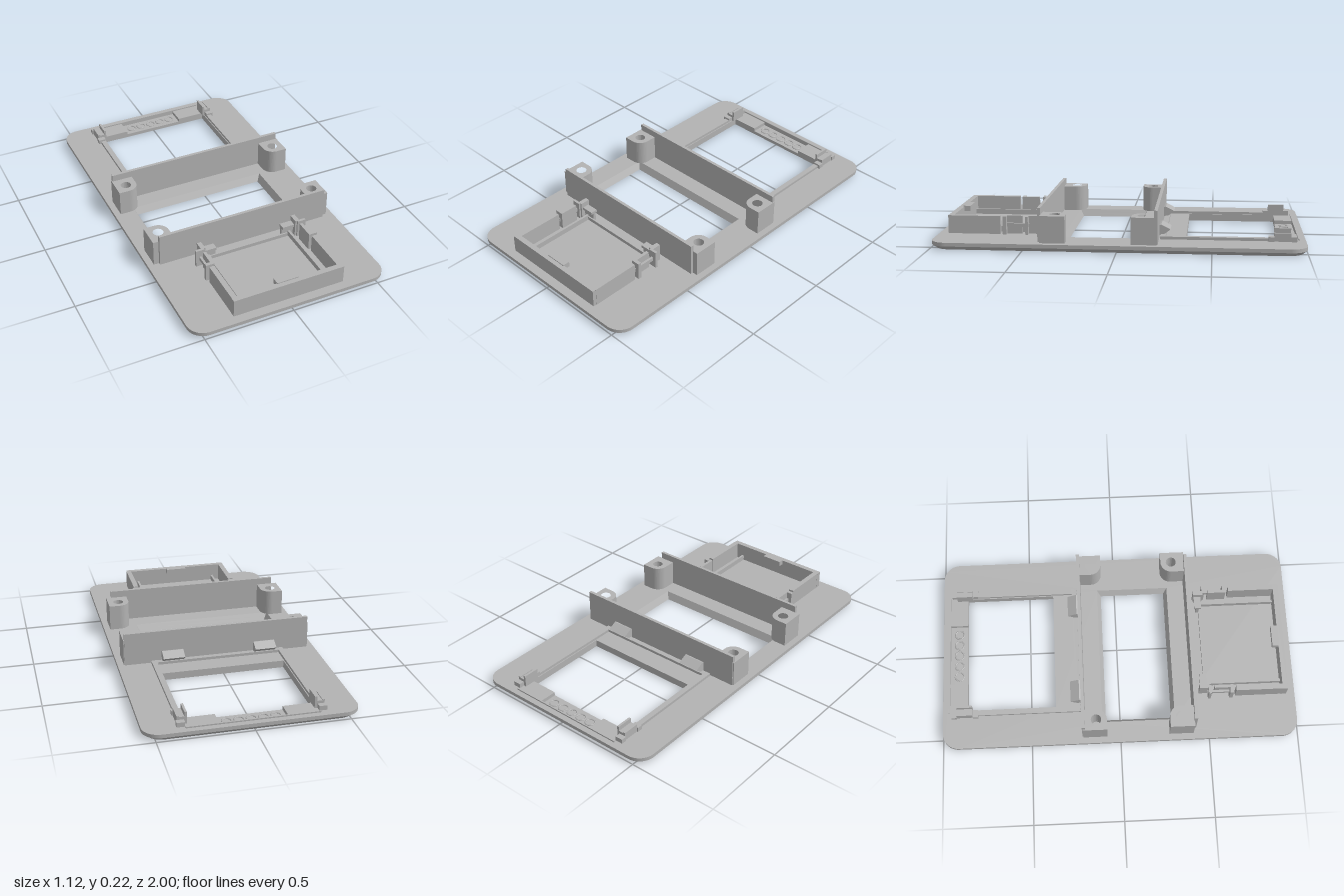
import * as THREE from 'three';

const grey = new THREE.MeshStandardMaterial({ color: 0xb2b2b2 });
grey.name = 'grey plastic';

export function createModel() {
  const model = new THREE.Group();
  model.name = 'devicePanel';

  const add = (name, geometry, parent = model) => {
    const mesh = new THREE.Mesh(geometry, grey);
    mesh.name = name;
    parent.add(mesh);
    return mesh;
  };
  // Box given by its limits on each axis
  const box = (name, x0, x1, y0, y1, z0, z1) => {
    const g = new THREE.BoxGeometry(x1 - x0, y1 - y0, z1 - z0);
    g.translate((x0 + x1) / 2, (y0 + y1) / 2, (z0 + z1) / 2);
    return add(name, g);
  };
  // Plan outline (x, z) raised from y0 to y1
  const prism = (shape, y0, y1) => {
    const g = new THREE.ExtrudeGeometry(shape, { depth: y1 - y0, bevelEnabled: false, curveSegments: 10 });
    return g.rotateX(Math.PI / 2).translate(0, y1, 0);
  };
  // Side outline (z, y) stretched from x0 to x1
  const sideProfile = (name, points, x0, x1) => {
    const s = new THREE.Shape(points.map(([z, y]) => new THREE.Vector2(-z, y)));
    const g = new THREE.ExtrudeGeometry(s, { depth: x1 - x0, bevelEnabled: false });
    return add(name, g.rotateY(Math.PI / 2).translate(x0, 0, 0));
  };
  const path = (points) => new THREE.Path(points.map(([x, z]) => new THREE.Vector2(x, z)));
  const rect = (x0, x1, z0, z1) => path([[x0, z0], [x1, z0], [x1, z1], [x0, z1]]);

  // Base plate: chamfered below, with a sloped window and a stepped opening
  const plateLayer = (name, y0, y1, opening) => {
    const w = 0.56, l = 1, r = 0.09;
    const s = new THREE.Shape();
    s.absarc(w - r, l - r, r, 0, Math.PI / 2);
    s.absarc(-w + r, l - r, r, Math.PI / 2, Math.PI);
    s.absarc(-w + r, -l + r, r, Math.PI, Math.PI * 1.5);
    s.absarc(w - r, -l + r, r, Math.PI * 1.5, Math.PI * 2);
    s.closePath();
    s.holes.push(rect(-0.44, 0.365, -0.1, 0.31), opening);
    const g = prism(s, y0, y1), p = g.attributes.position;
    for (let i = 0; i < p.count; i++) {
      const x = p.getX(i), y = p.getY(i), z = p.getZ(i);
      if (Math.abs(x) < 0.45 && z > -0.15 && z < 0.35) {
        const d = 0.02 * (1 - y / 0.04);
        p.setX(i, x - Math.sign(x) * d);
        p.setZ(i, z + (z < 0 ? d : -d));
      } else if (y < 0.001 && (Math.abs(x) > 0.46 || Math.abs(z) > 0.9 && Math.abs(z) > 0.98)) {
        p.setX(i, x * 0.964);
        p.setZ(i, z * 0.98);
      }
    }
    g.computeVertexNormals();
    add(name, g);
  };
  plateLayer('plateLower', 0, 0.02, rect(-0.34, 0.34, -0.86, -0.36));
  plateLayer('plateUpper', 0.02, 0.04, path([
    [-0.34, -0.36], [-0.34, -0.86], [-0.18, -0.86], [-0.18, -0.96],
    [0.175, -0.96], [0.175, -0.86], [0.34, -0.86], [0.34, -0.36]]));

  // Cross walls on both sides of the window
  box('backWall', -0.52, 0.52, 0.04, 0.224, -0.215, -0.197);
  box('frontWall', -0.495, 0.495, 0.04, 0.224, 0.408, 0.425);

  // Screw posts, square towards the wall and outer edge, rounded inwards
  for (const sx of [-1, 1]) {
    for (const [cz, sz] of [[-0.135, -1], [0.335, 1]]) {
      const r = 0.06, s = new THREE.Shape();
      const pts = [[r, r + 0.015], [-r, r + 0.015], [-r, 0]];
      for (let i = 1; i <= 12; i++) {
        const a = Math.PI + (i / 12) * Math.PI / 2;
        pts.push([Math.cos(a) * r, Math.sin(a) * r]);
      }
      pts.push([r, -r]);
      s.setFromPoints(pts.map(([x, z]) => new THREE.Vector2(sx * (0.465 + x), cz + sz * z)));
      s.holes.push(new THREE.Path().absarc(sx * 0.465, cz, 0.029, 0, Math.PI * 2, true));
      add('screwPost', prism(s, 0.04, 0.186));
    }
  }

  // Front compartment: open tray with side ledges and a snap tab
  box('trayFrontWall', -0.318, 0.315, 0.04, 0.14, 0.92, 0.95);
  box('trayTab', -0.062, 0.06, 0.115, 0.145, 0.885, 0.925);
  box('trayBackLedge', -0.24, 0.235, 0.04, 0.06, 0.485, 0.495);
  for (const s of [-1, 1]) {
    const side = (name, a, b, y0, y1, z0, z1) =>
      box(name, Math.min(s * a, s * b), Math.max(s * a, s * b), y0, y1, z0, z1);
    side('traySideWall', 0.288, 0.317, 0.04, 0.14, 0.66, 0.93);
    side('traySideLedge', 0.237, 0.25, 0.04, 0.07, 0.49, 0.92);
    // Spring clip of the tray
    side('trayClipWall', 0.28, 0.297, 0.04, 0.14, 0.54, 0.64);
    side('trayClipPost', 0.27, 0.295, 0.04, 0.14, 0.455, 0.51);
    side('trayClipArm', 0.2, 0.27, 0.04, 0.11, 0.47, 0.487);
    side('trayClipLip', 0.2, 0.27, 0.095, 0.11, 0.46, 0.5);
    side('trayClipRail', 0.297, 0.31, 0.08, 0.1, 0.5, 0.65);
    side('trayClipBlock', 0.28, 0.328, 0.04, 0.14, 0.625, 0.645);
    side('trayClipBlock', 0.28, 0.328, 0.04, 0.14, 0.505, 0.52);

    // Rails, hooks and end clips of the rear opening
    side('openingRail', 0.345, 0.375, 0.04, 0.055, -0.8, -0.22);
    side('endClipWall', 0.33, 0.342, 0.04, 0.105, -0.92, -0.83);
    side('endClipWall', 0.37, 0.382, 0.04, 0.085, -0.92, -0.83);
    side('endClipBridge', 0.342, 0.37, 0.04, 0.08, -0.92, -0.83);
    side('endClipFoot', 0.345, 0.388, 0.04, 0.065, -0.95, -0.92);
    side('endClipFoot', 0.345, 0.388, 0.04, 0.065, -0.83, -0.8);
    const hx = s < 0 ? -0.325 : 0.195;
    sideProfile('openingHook', [[-0.215, 0.05], [-0.24, 0.055], [-0.275, 0.082], [-0.225, 0.108], [-0.215, 0.105]], hx, hx + 0.12);
  }
  box('openingFrontRail', -0.375, 0.375, 0.04, 0.055, -0.25, -0.222);
  box('openingBackRail', -0.35, 0.345, 0.04, 0.047, -0.968, -0.96);

  // Round seats in the shallow rear recess
  for (let i = 0; i < 5; i++) {
    const ring = new THREE.TorusGeometry(0.025, 0.004, 6, 20);
    add('recessRing', ring.rotateX(Math.PI / 2).translate(-0.13 + i * 0.064, 0.021, -0.91));
  }
  return model;
}
